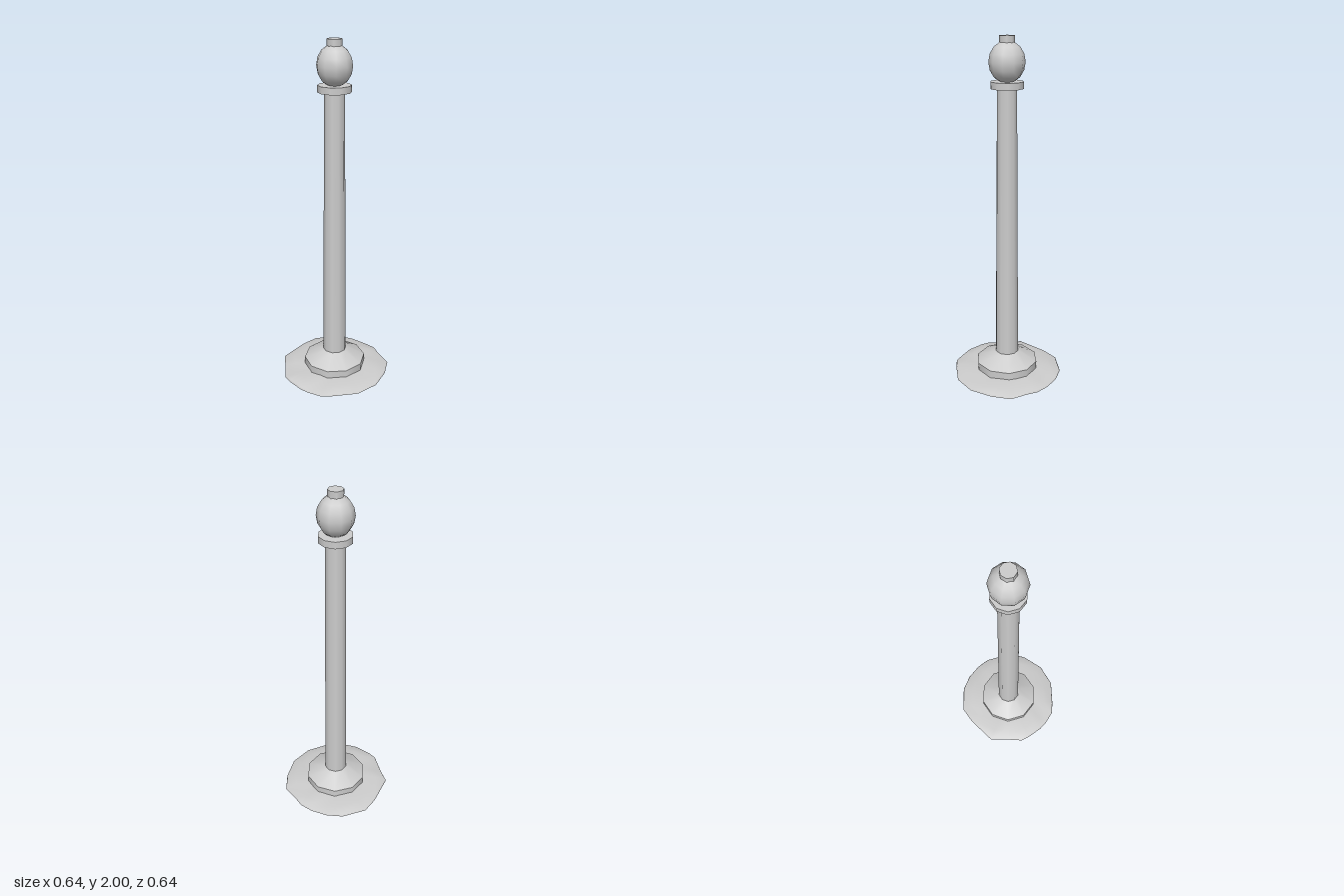
import * as THREE from 'three';

const stone = new THREE.MeshStandardMaterial({ color: 0xcccccc });
stone.name = 'grey stone';

// Upright tapered cylinder spanning y0..y1
function turned(name, rBottom, rTop, y0, y1, sides = 10, turn = Math.PI / 10) {
  const g = new THREE.CylinderGeometry(rTop, rBottom, y1 - y0, sides);
  g.rotateY(turn);
  g.translate(0, (y0 + y1) / 2, 0);
  const mesh = new THREE.Mesh(g, stone);
  mesh.name = name;
  return mesh;
}

// Irregular outline of the ground patch, as [x, z]
const outline = [
  [0.105, -0.32], [0.231, -0.236], [0.285, -0.15], [0.313, -0.054], [0.317, 0.029],
  [0.294, 0.098], [0.272, 0.193], [0.178, 0.264], [0.051, 0.316], [-0.088, 0.307],
  [-0.217, 0.227], [-0.27, 0.184], [-0.305, 0.104], [-0.317, 0.05], [-0.319, -0.054],
  [-0.312, -0.105], [-0.238, -0.2], [-0.185, -0.279], [0, -0.318],
];
// Put the last rear point in angular order
outline.sort((a, b) => Math.atan2(a[1], a[0]) - Math.atan2(b[1], b[0]));

// Low uneven mound built from rings, with a flat underside
function groundPatch() {
  const n = outline.length;
  const rings = [[1, 0, 0], [0.985, 0.01, 0.004], [0.8, 0.021, 0.005], [0.55, 0.031, 0.002]];
  const pos = [], idx = [];
  rings.forEach(([s, y, wave], r) => outline.forEach(([x, z], i) =>
    pos.push(x * s, y + wave * Math.sin(i * 2.1 + r), z * s)));
  for (let r = 0; r < rings.length - 1; r++) {
    for (let i = 0; i < n; i++) {
      const j = (i + 1) % n;
      const a = r * n + i, b = r * n + j, c = a + n, d = b + n;
      idx.push(a, c, b, b, c, d);
    }
  }
  // Top centre
  const top = pos.length / 3, last = (rings.length - 1) * n;
  pos.push(0, 0.033, 0);
  for (let i = 0; i < n; i++) idx.push(last + i, top, last + (i + 1) % n);
  // Underside with its own vertices for a crisp edge
  const low = pos.length / 3;
  outline.forEach(([x, z]) => pos.push(x, 0, z));
  pos.push(0, 0, 0);
  for (let i = 0; i < n; i++) idx.push(low + n, low + i, low + (i + 1) % n);
  const g = new THREE.BufferGeometry();
  g.setAttribute('position', new THREE.Float32BufferAttribute(pos, 3));
  g.setIndex(idx);
  g.computeVertexNormals();
  const mesh = new THREE.Mesh(g, stone);
  mesh.name = 'groundPatch';
  return mesh;
}

export function createModel() {
  const model = new THREE.Group();
  model.name = 'bollardPost';

  const post = new THREE.Group();
  post.name = 'post';
  post.position.z = -0.004;
  post.add(
    turned('basePlinth', 0.185, 0.185, 0.015, 0.075),
    turned('baseSlope', 0.185, 0.072, 0.075, 0.135),
    turned('shaft', 0.07, 0.056, 0.13, 1.725),
    turned('collar', 0.093, 0.093, 1.722, 1.76),
    turned('topKnob', 0.042, 0.042, 1.95, 2, 8, 0),
  );

  // Slightly tall ball on top of the collar
  const ballGeometry = new THREE.SphereGeometry(0.1, 10, 8);
  ballGeometry.rotateY(Math.PI / 2);
  ballGeometry.scale(1, 1.13, 1);
  const ball = new THREE.Mesh(ballGeometry, stone);
  ball.name = 'finialBall';
  ball.position.y = 1.862;
  post.add(ball);

  model.add(groundPatch(), post);
  return model;
}
